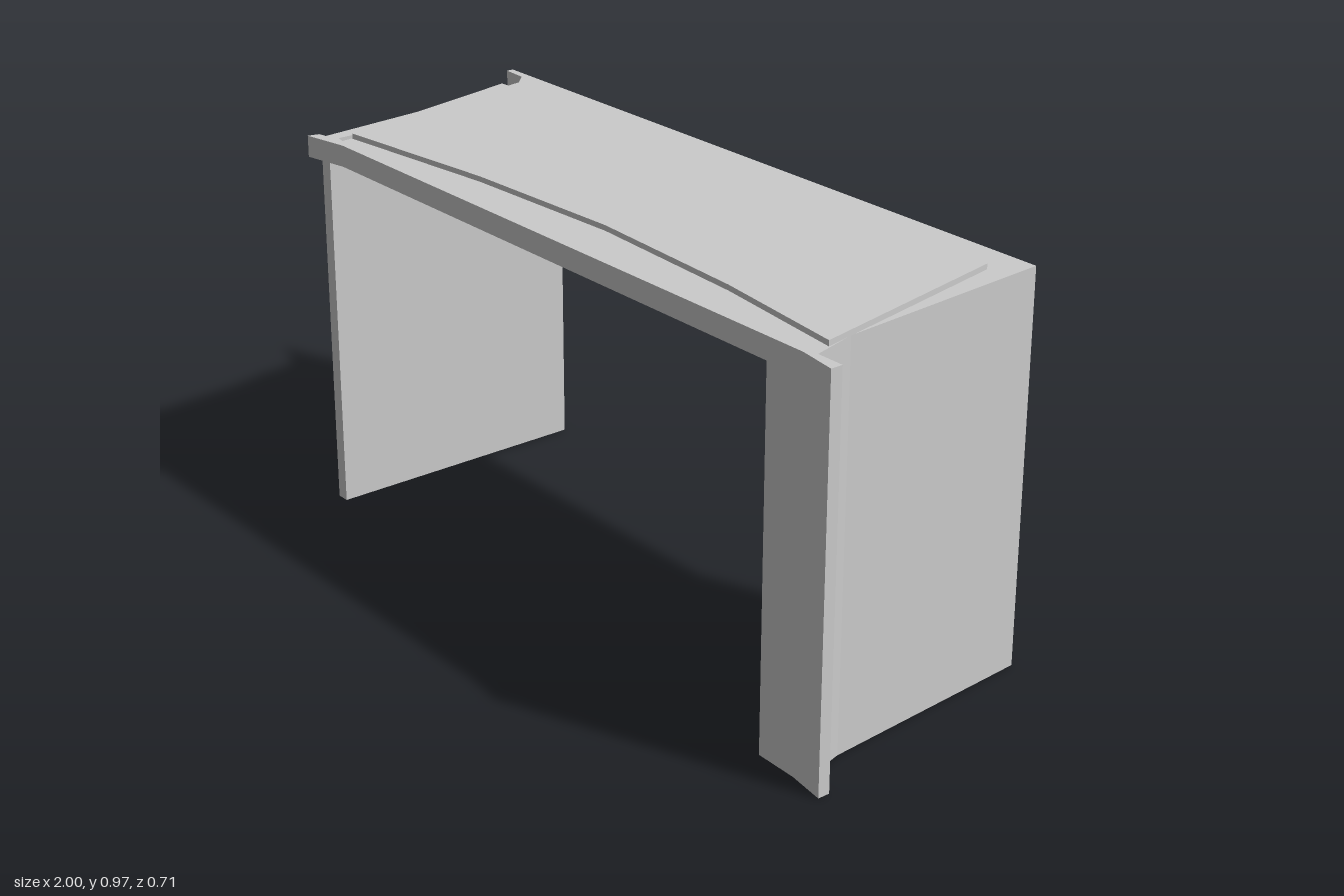
import * as THREE from 'three';

const material = new THREE.MeshStandardMaterial({ color: 0xcccccc, flatShading: true });

// Plan outlines are [x, z] corners; each is extruded upward from y0 to y1.
const plan = (points) => points.map(([x, z]) => new THREE.Vector2(x, -z));

function prism(name, outline, y0, y1, hole) {
  const shape = new THREE.Shape(plan(outline));
  if (hole) shape.holes.push(new THREE.Path(plan(hole)));
  const geometry = new THREE.ExtrudeGeometry(shape, { depth: y1 - y0, bevelEnabled: false });
  geometry.rotateX(-Math.PI / 2).translate(0, y0, 0);
  const mesh = new THREE.Mesh(geometry, material);
  mesh.name = name;
  return mesh;
}

export function createModel() {
  const group = new THREE.Group();
  group.name = 'table';
  const legTop = 0.9, slabTop = 0.953, plateTop = 0.966;

  // Outer sides, flared into flanges at front left and back right
  const leftSide = [
    [0.9, 0.34], [0.995, 0.355], [0.995, 0.325], [0.925, 0.325], [0.895, 0.21], [0.855, -0.355],
  ];
  const rightSide = [
    [-1, -0.356], [-1, -0.338], [-0.932, -0.335], [-0.897, -0.3], [-0.865, -0.13], [-0.828, 0.325],
  ];

  // Full-depth panel legs
  group.add(prism('leftLeg', [[0.79, 0.337], ...leftSide, [0.79, -0.355]], 0, legTop));
  group.add(prism('rightLeg', [[-0.795, -0.355], ...rightSide, [-0.828, 0.338], [-0.795, 0.338]], 0, legTop));

  // Table top, with a small flange at its front right corner and a slit beside the leg
  const slab = [
    ...leftSide, ...rightSide,
    [-0.85, 0.33], [-0.857, 0.358], [-0.74, 0.335],
  ];
  const slit = [[-0.794, 0.2], [-0.794, 0.31], [-0.77, 0.316], [-0.773, 0.28]];
  group.add(prism('tableTop', slab, legTop, slabTop, slit));

  // Thin curved inlay raised above the top
  group.add(prism('raisedPlate', [
    [-0.88, -0.235], [-0.42, -0.277], [-0.08, -0.29], [0.4, -0.289], [0.805, -0.26],
    [0.91, 0.283], [0.56, 0.24], [0.12, 0.215], [-0.32, 0.235], [-0.77, 0.287],
  ], slabTop, plateTop));

  return group;
}
